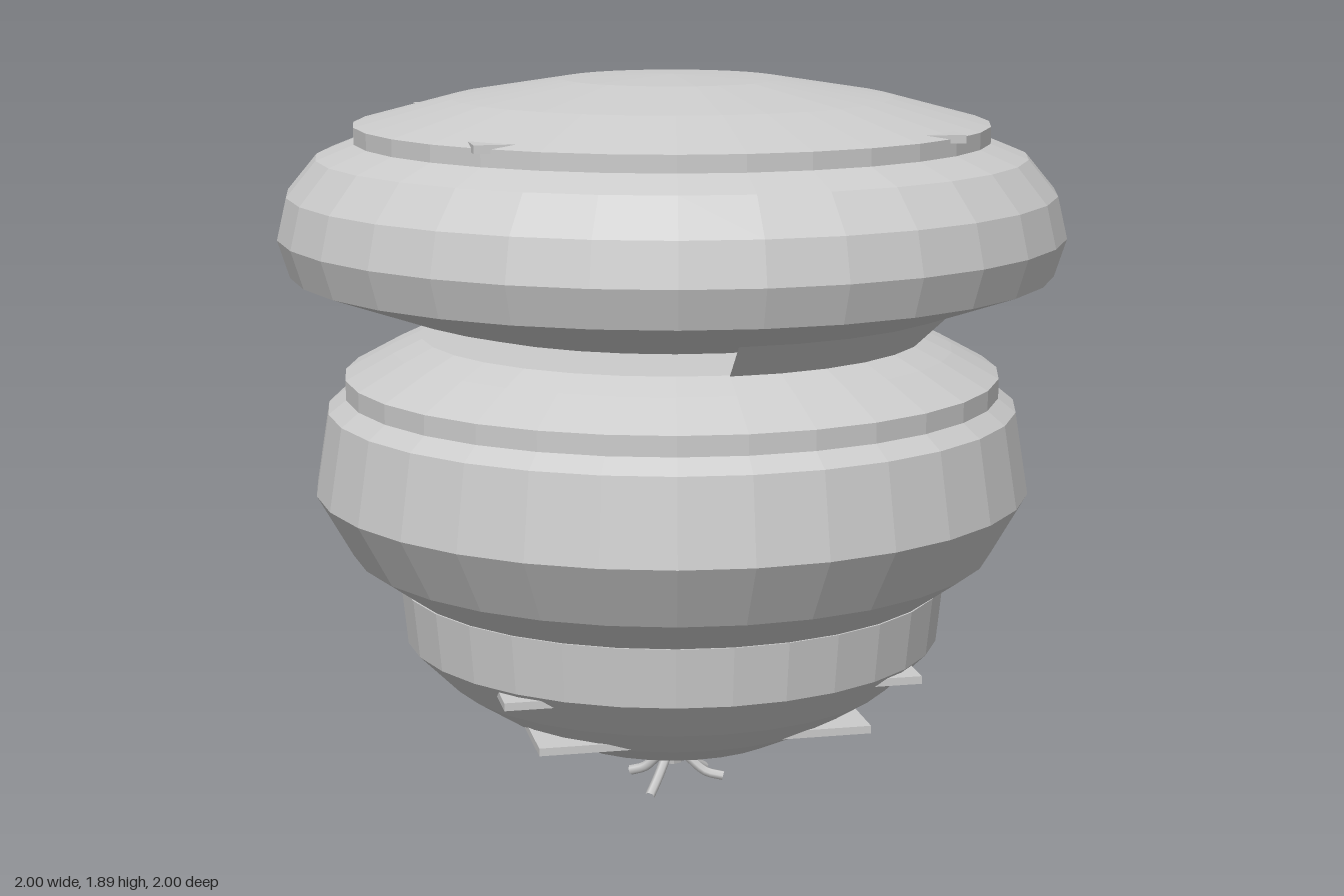
import * as THREE from 'three';

const SIDES = 32;

export function createModel() {
  const model = new THREE.Group();
  const grey = new THREE.MeshStandardMaterial({ color: 0xcccccc, flatShading: true });
  const thin = new THREE.MeshStandardMaterial({ color: 0xcccccc, flatShading: true, side: THREE.DoubleSide });
  const smooth = new THREE.MeshStandardMaterial({ color: 0xcccccc });

  const add = (name, geometry, material = grey) => {
    const mesh = new THREE.Mesh(geometry, material);
    mesh.name = name;
    model.add(mesh);
    return mesh;
  };
  // Turned part; the profile runs from bottom to top as [radius, height]
  const turned = (name, profile, material = grey, start = 0, sweep = Math.PI * 2, sides = SIDES) =>
    add(name, new THREE.LatheGeometry(profile.map(([r, y]) => new THREE.Vector2(r, y)), sides, start, sweep), material);

  // Rounded bowl at the bottom
  turned('bowl', [[0, 0.125], [0.17, 0.138], [0.32, 0.18], [0.46, 0.25], [0.59, 0.335],
    [0.695, 0.44], [0.71, 0.59], [0, 0.59]]);

  // Middle tier with its stepped collar and sloping shoulder
  turned('middleTier', [[0, 0.59], [0.705, 0.59], [0.83, 0.68], [0.92, 0.84], [0.885, 1.05],
    [0.84, 1.085], [0, 1.085]]);
  turned('collar', [[0, 1.08], [0.84, 1.08], [0.84, 1.135], [0.72, 1.2], [0.645, 1.235], [0, 1.235]]);

  // Open neck wall with a gap at the front right
  turned('neck', [[0.645, 1.23], [0.74, 1.32]], thin, 0, Math.PI * 1.375, 22);

  // Wide upper tier
  turned('upperTier', [[0, 1.28], [0.6, 1.28], [0.7, 1.305], [0.97, 1.4], [1, 1.495], [0.975, 1.6],
    [0.9, 1.69], [0.8, 1.73], [0, 1.73]]);

  // Shallow domed lid
  turned('lid', [[0, 1.725], [0.805, 1.725], [0.805, 1.77], [0.56, 1.835], [0.28, 1.88], [0, 1.89]]);

  // Square plates whose corners poke through the round walls
  for (const [name, half, y] of [['lowerPlate', 0.425, 0.265], ['rimPlate', 0.525, 0.42], ['lidPlate', 0.587, 1.77]]) {
    add(name, new THREE.BoxGeometry(half * 2, 0.02, half * 2)).position.y = y;
  }

  // Small forked root under the bowl
  turned('rootStem', [[0.03, 0.07], [0.035, 0.1], [0.03, 0.135]], thin, 0, Math.PI * 2, 8);
  for (const [x, y, z] of [[0.13, 0.035, 0.05], [0.11, 0.015, -0.09], [-0.08, 0.012, 0.1], [-0.1, 0.03, -0.06]]) {
    const path = new THREE.CatmullRomCurve3([
      new THREE.Vector3(0, 0.12, 0),
      new THREE.Vector3(x * 0.3, 0.085, z * 0.3),
      new THREE.Vector3(x * 0.65, 0.045, z * 0.65),
      new THREE.Vector3(x, y, z),
    ]);
    add('rootBranch', new THREE.TubeGeometry(path, 10, 0.013, 6), smooth);
  }
  return model;
}
